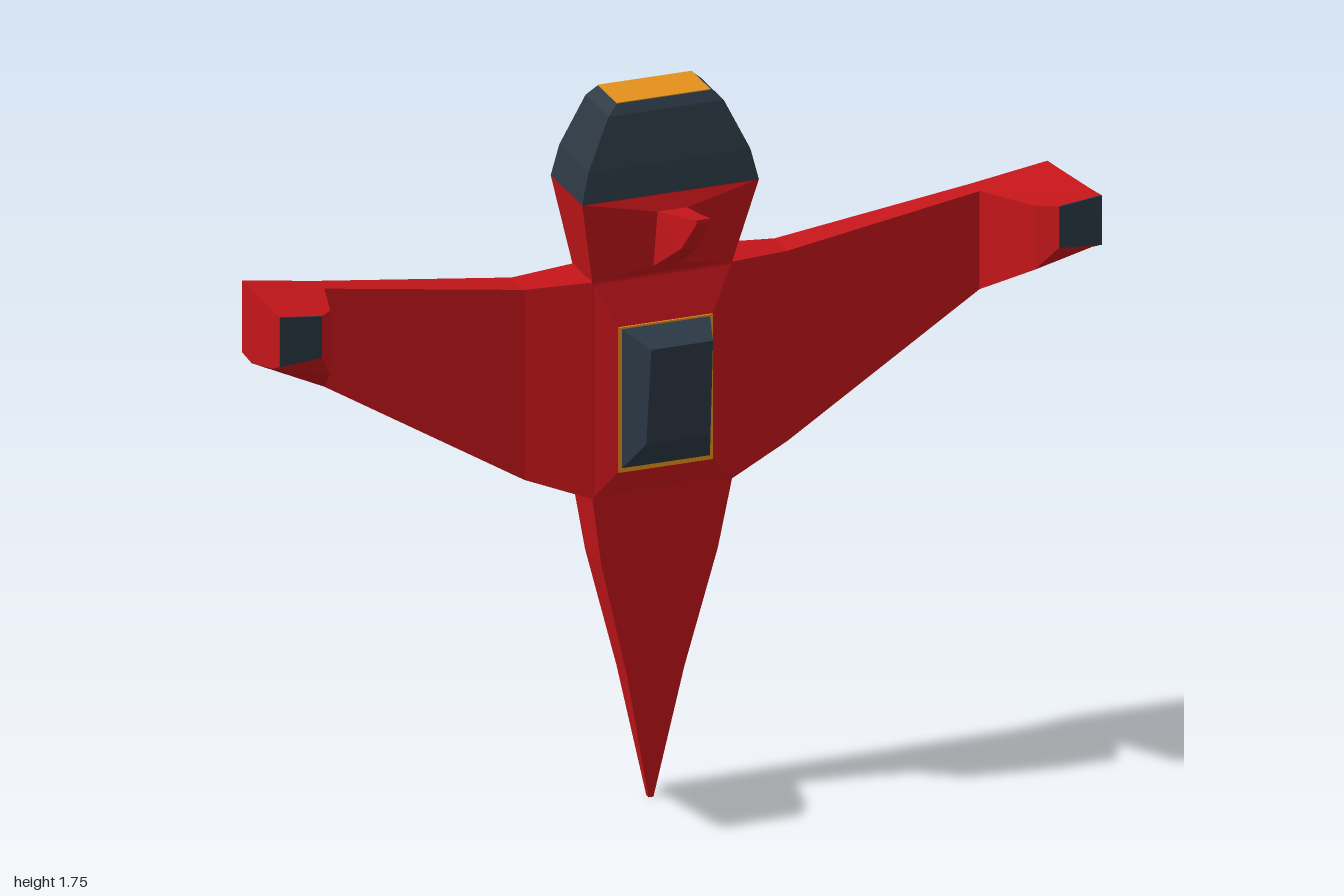
import * as THREE from 'three';

const paint = (color) => new THREE.MeshStandardMaterial({ color, flatShading: true, side: THREE.DoubleSide });
const red = paint(0xc4151a), dark = paint(0x2b3743), amber = paint(0xe3901a);

// Closed solid through a list of four-cornered cross-sections
function loft(name, sections, material) {
  const tris = [];
  const quad = (a, b, c, d) => tris.push([a, b, c], [a, c, d]);
  for (let i = 0; i < sections.length - 1; i++) {
    const s = sections[i], t = sections[i + 1];
    for (let j = 0; j < 4; j++) {
      const k = (j + 1) % 4;
      quad(s[j], s[k], t[k], t[j]);
    }
  }
  const first = sections[0], last = sections[sections.length - 1];
  quad(first[3], first[2], first[1], first[0]);
  quad(last[0], last[1], last[2], last[3]);

  // Turn the faces outward when the enclosed volume comes out negative
  const v = (p) => new THREE.Vector3(...p);
  const volume = tris.reduce((sum, [a, b, c]) => sum + v(a).dot(v(b).cross(v(c))), 0);
  if (volume < 0) tris.forEach((t) => t.reverse());

  const geometry = new THREE.BufferGeometry();
  geometry.setAttribute('position', new THREE.Float32BufferAttribute(tris.flat(2), 3));
  geometry.computeVertexNormals();
  const mesh = new THREE.Mesh(geometry, material);
  mesh.name = name;
  return mesh;
}

// Horizontal section: height, half width, back z, front z
const level = ([y, w, back, front]) => [[-w, y, front], [w, y, front], [w, y, back], [-w, y, back]];
// Section facing front: z, lower and upper half widths, bottom and top y
const facing = (z, wLow, wTop, y0, y1) => [[-wLow, y0, z], [wLow, y0, z], [wTop, y1, z], [-wTop, y1, z]];
// Wing section between an inner and an outer upright edge, each x, z, y0, y1
const rib = (side, [x0, z0, a0, a1], [x1, z1, b0, b1]) => [
  [side * x0, a0, z0], [side * x0, a1, z0], [side * x1, b1, z1], [side * x1, b0, z1],
];

export function createModel() {
  const model = new THREE.Group();
  model.name = 'spacecraft';

  // Pointed nose, body and flared neck
  model.add(loft('fuselage', [
    [0, 0.006, -0.14, -0.126],
    [0.32, 0.07, -0.162, -0.098],
    [0.61, 0.142, -0.173, -0.073],
    [0.78, 0.17, -0.18, -0.057],
    [1.31, 0.17, -0.18, -0.057],
    [1.525, 0.215, -0.2, -0.005],
  ].map(level), red));

  // Engine block and its glowing outlet
  model.add(loft('engine', [
    [1.525, 0.215, -0.2, -0.005],
    [1.6, 0.197, -0.193, -0.012],
    [1.72, 0.14, -0.175, -0.032],
    [1.743, 0.115, -0.165, -0.046],
  ].map(level), dark));
  const outlet = new THREE.Mesh(new THREE.BoxGeometry(0.228, 0.004, 0.117), amber);
  outlet.name = 'engineOutlet';
  outlet.position.set(0, 1.743, -0.1055);
  model.add(outlet);

  // Raised deck that carries the canopy
  model.add(loft('canopyDeck', [
    facing(-0.058, 0.17, 0.17, 0.78, 1.31),
    facing(-0.037, 0.115, 0.115, 0.845, 1.2),
  ], red));
  const frame = new THREE.Mesh(new THREE.BoxGeometry(0.228, 0.355, 0.008), amber);
  frame.name = 'canopyFrame';
  frame.position.set(0, 1.0225, -0.037);
  model.add(frame);
  model.add(loft('canopy', [
    facing(-0.036, 0.108, 0.108, 0.852, 1.196),
    [[-0.075, 0.935, 0.036], [0.075, 0.935, 0.036], [0.075, 1.178, 0.067], [-0.075, 1.178, 0.067]],
  ], dark));

  // Fin rising out of a faceted fairing on the neck
  model.add(loft('finFairing', [
    [[-0.17, 1.31, -0.058], [0.17, 1.31, -0.058], [0.215, 1.525, -0.006], [-0.215, 1.525, -0.006]],
    [[-0.035, 1.34, -0.03], [0.035, 1.34, -0.03], [0.035, 1.487, 0.006], [-0.035, 1.487, 0.006]],
  ], red));
  model.add(loft('fin', [
    [[-0.032, 1.34, -0.03], [0.032, 1.34, -0.03], [0.036, 1.487, 0.004], [-0.036, 1.487, 0.004]],
    facing(0.12, 0.024, 0.024, 1.437, 1.515),
    facing(0.2, 0.017, 0.017, 1.527, 1.537),
  ], red));

  // Swept wings ending in forward-pointing tips
  for (const [side, label] of [[1, 'left'], [-1, 'right']]) {
    model.add(loft(label + 'Wing', [
      rib(side, [0.16, -0.057, 0.78, 1.31], [0.16, -0.18, 0.78, 1.31]),
      rib(side, [0.17, -0.057, 0.78, 1.31], [0.17, -0.18, 0.78, 1.31]),
      rib(side, [0.32, -0.095, 0.835, 1.3], [0.32, -0.175, 0.835, 1.3]),
      rib(side, [0.797, -0.12, 1.125, 1.365], [0.797, -0.17, 1.125, 1.365]),
      rib(side, [0.797, -0.12, 1.125, 1.365], [0.98, -0.165, 1.22, 1.395]),
      rib(side, [0.797, -0.12, 1.125, 1.365], [0.984, -0.095, 1.22, 1.4]),
      rib(side, [0.857, 0.068, 1.235, 1.392], [0.996, 0.068, 1.27, 1.411]),
      rib(side, [0.897, 0.118, 1.302, 1.403], [1, 0.12, 1.295, 1.416]),
    ], red));
    // Dark muzzle plate on the front of the tip
    model.add(loft(label + 'TipPlate', [
      rib(side, [0.897, 0.116, 1.302, 1.403], [1, 0.118, 1.295, 1.416]),
      rib(side, [0.897, 0.12, 1.302, 1.403], [1, 0.122, 1.295, 1.416]),
    ], dark));
  }
  return model;
}
